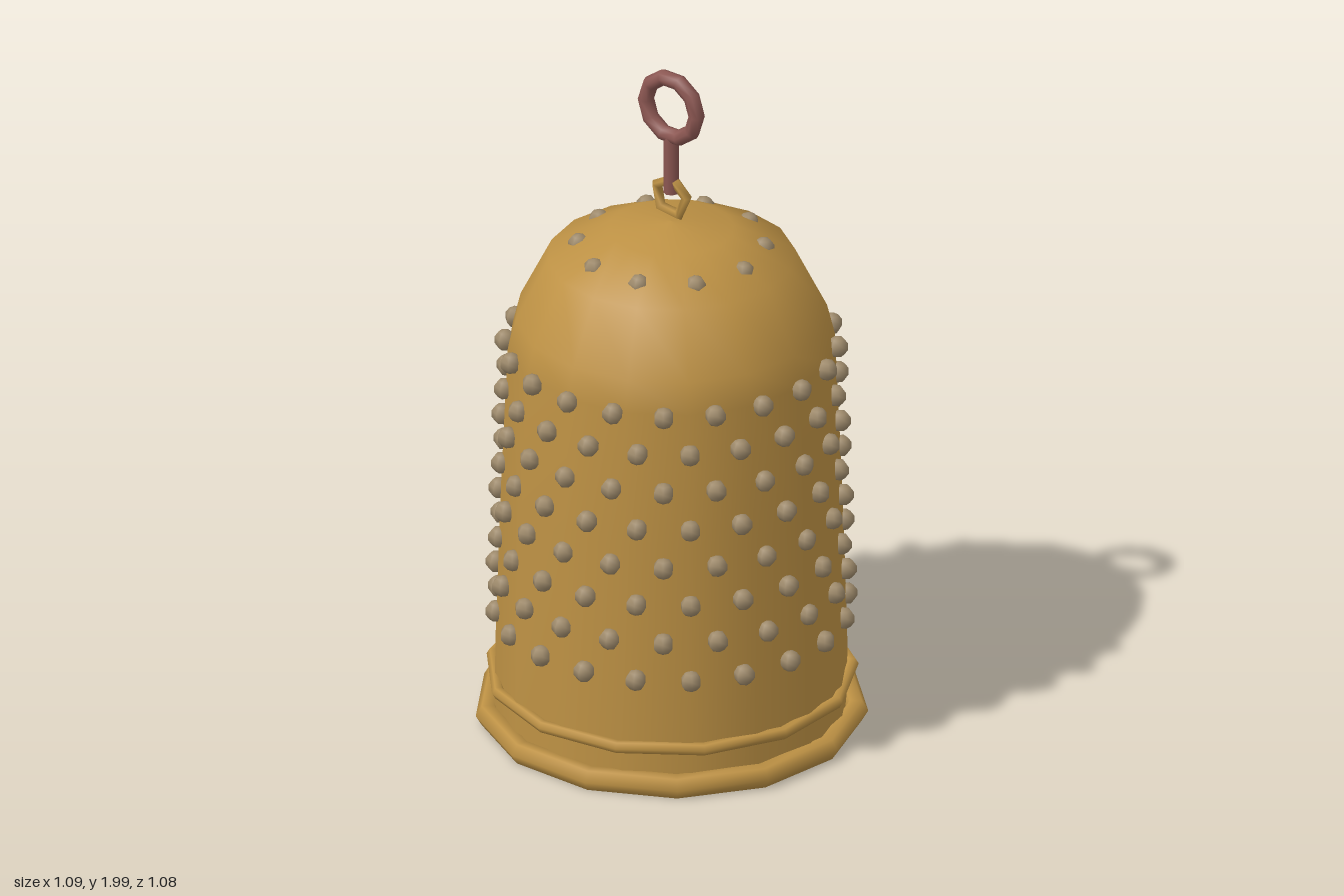
import * as THREE from 'three';

export function createModel() {
  const model = new THREE.Group();
  const mat = (name, color, side = THREE.FrontSide) => {
    const m = new THREE.MeshStandardMaterial({ color, side });
    m.name = name;
    return m;
  };
  const gold = mat('gold', 0xbd9144, THREE.DoubleSide);
  const beige = mat('beige', 0x9e8a6b, THREE.DoubleSide);
  const copper = mat('copper', 0x8c5752);

  const add = (name, geometry, material, x = 0, y = 0, z = 0, parent = model) => {
    const mesh = new THREE.Mesh(geometry, material);
    mesh.name = name;
    mesh.position.set(x, y, z);
    parent.add(mesh);
    return mesh;
  };

  // Tapered wall with a rounded dome, open at the bottom
  const profile = [
    [0.495, 0.01], [0.49, 0.3], [0.475, 0.75], [0.457, 1.16],
    [0.435, 1.25], [0.345, 1.43], [0.175, 1.515], [0, 1.535],
  ].map(([r, y]) => new THREE.Vector2(r, y));
  add('thimbleBody', new THREE.LatheGeometry(profile, 16), gold);

  // Rolled rim and the thin band above it
  const band = (name, radius, tube, y, sides, turn) => {
    const g = new THREE.TorusGeometry(radius, tube, 6, sides);
    g.rotateX(Math.PI / 2);
    g.rotateY(turn);
    add(name, g, gold, 0, y, 0);
  };
  band('bottomRim', 0.515, 0.034, 0.037, 13, 0.1);
  band('upperBand', 0.503, 0.018, 0.143, 13, 0.25);

  // Disc closing the inside
  const disc = new THREE.CircleGeometry(0.475, 16);
  disc.rotateX(Math.PI / 2);
  add('innerDisc', disc, beige, 0, 0.29, 0);

  // Staggered rows of studs around the wall
  const stud = new THREE.SphereGeometry(0.031, 6, 5);
  const studs = new THREE.Group();
  studs.name = 'studs';
  model.add(studs);
  const studRing = (name, count, radius, y, offset) => {
    for (let i = 0; i < count; i++) {
      const a = ((i + offset) / count) * Math.PI * 2;
      const s = add(name, stud, beige, Math.cos(a) * radius, y, Math.sin(a) * radius, studs);
      s.rotation.y = -a;
    }
  };
  for (let row = 0; row < 8; row++) {
    studRing('wallStud', 20, 0.49 - row * 0.004, 0.35 + row * 0.115, row % 2 ? 0 : 0.5);
  }

  // Ring of studs sunk into the dome
  studRing('domeStud', 10, 0.257, 1.458, 0);

  // Hanging loop, stem and top ring
  const loop = add('loop', new THREE.TorusGeometry(0.056, 0.016, 5, 5), gold, 0, 1.612, 0);
  loop.rotation.z = 0.2;
  add('stem', new THREE.CylinderGeometry(0.022, 0.022, 0.18, 8), copper, 0, 1.715, 0);
  add('topRing', new THREE.TorusGeometry(0.09, 0.023, 8, 10), copper, 0, 1.888, 0);

  return model;
}
